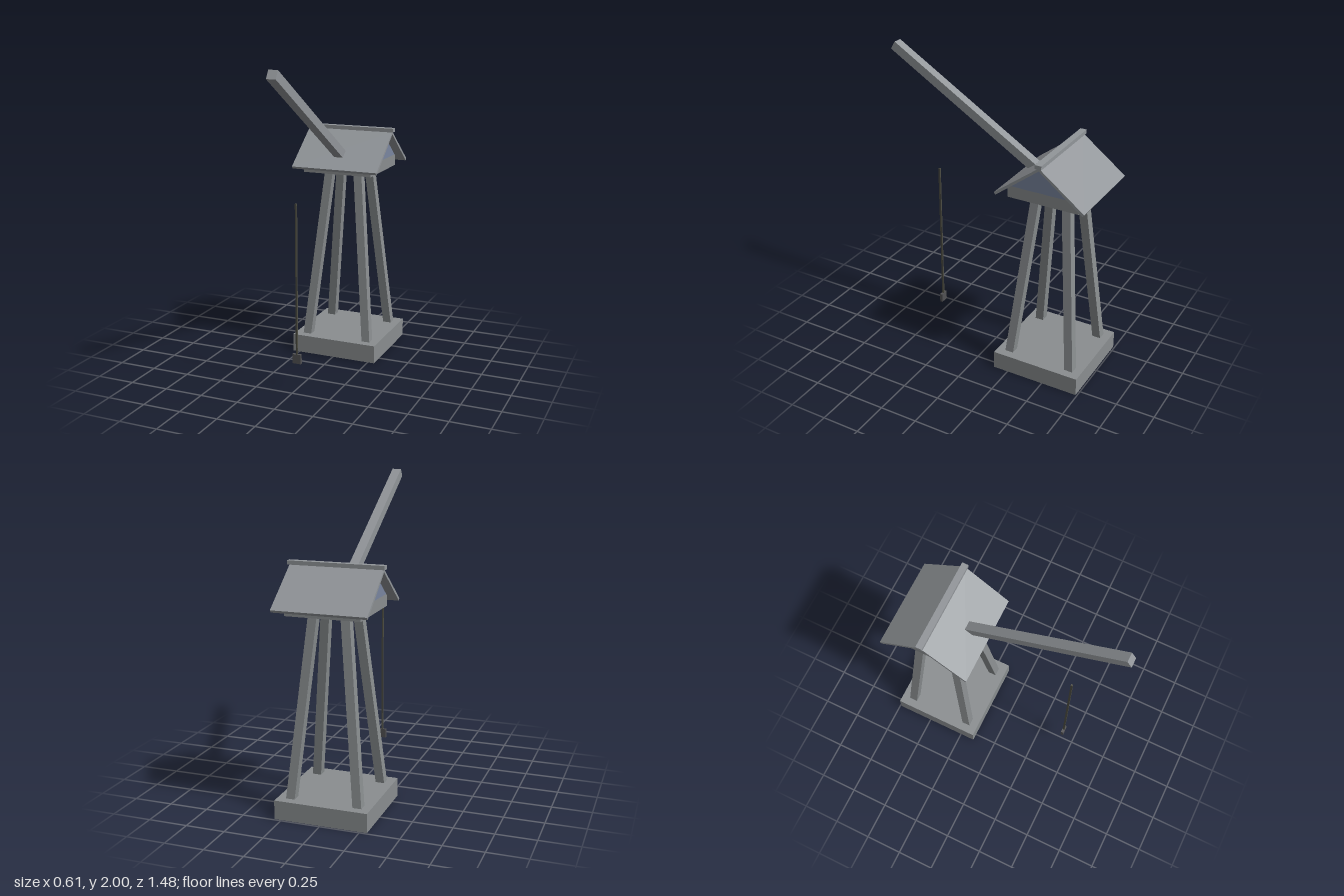
import * as THREE from 'three';

const mat = (name, color) => Object.assign(new THREE.MeshStandardMaterial({ color }), { name });

export function createModel() {
  const model = new THREE.Group();
  const stone = mat('stone grey', 0x8a8e90);
  const timber = mat('timber grey', 0x92969a);
  const slate = mat('gable blue grey', 0x7a86a0);
  const rope = mat('rope', 0x4c4c42);
  const iron = mat('dark iron', 0x525254);

  const add = (name, geometry, material, parent, x = 0, y = 0, z = 0) => {
    const mesh = new THREE.Mesh(geometry, material);
    mesh.name = name;
    mesh.position.set(x, y, z);
    parent.add(mesh);
    return mesh;
  };
  const box = (name, w, h, d, material, parent, x, y, z) =>
    add(name, new THREE.BoxGeometry(w, h, d), material, parent, x, y, z);
  // Extrude a z/y profile across the model's width
  const acrossX = (points, width) => {
    const shape = new THREE.Shape(points.map(([z, y]) => new THREE.Vector2(-z, y)));
    const g = new THREE.ExtrudeGeometry(shape, { depth: width, bevelEnabled: false });
    return g.translate(0, 0, -width / 2).rotateY(Math.PI / 2);
  };

  // Tower, built around its own axis
  const tower = new THREE.Group();
  tower.name = 'tower';
  tower.position.z = -0.445;
  model.add(tower);
  box('base', 0.59, 0.12, 0.59, stone, tower, 0, 0.06, 0);
  box('platform', 0.47, 0.076, 0.47, stone, tower, 0, 1.283, 0);

  // Four legs leaning inwards, with level ends
  const legBottom = 0.12, legTop = 1.245;
  for (const sx of [-1, 1]) for (const sz of [-1, 1]) {
    const g = new THREE.BoxGeometry(0.056, legTop - legBottom, 0.056);
    const p = g.attributes.position;
    for (let i = 0; i < p.count; i++) {
      const offset = p.getY(i) > 0 ? 0.101 : 0.213;
      p.setX(i, p.getX(i) + sx * offset);
      p.setZ(i, p.getZ(i) + sz * offset);
    }
    g.computeVertexNormals();
    add('leg', g, stone, tower, 0, (legTop + legBottom) / 2, 0);
  }

  // Gable body, roof slopes and ridge cap
  add('gable', acrossX([[-0.235, 1.32], [0.235, 1.32], [0, 1.497]], 0.47), slate, tower);
  for (const s of [-1, 1]) {
    const slope = [[0, 1.512], [0, 1.493], [s * 0.286, 1.272], [s * 0.296, 1.287]];
    add('roofSlope', acrossX(slope, 0.59), timber, tower);
  }
  box('ridgeCap', 0.61, 0.025, 0.042, timber, tower, 0, 1.521, 0);

  // Boom from the roof up to the front
  const start = new THREE.Vector2(-0.32, 1.337), tip = new THREE.Vector2(0.725, 1.975);
  const run = tip.clone().sub(start);
  const boom = box('boom', 0.06, 0.058, run.length(), timber, model,
    0, (start.y + tip.y) / 2, (start.x + tip.x) / 2);
  boom.rotation.x = -Math.atan2(run.y, run.x);

  // Hanging line and weight
  box('line', 0.01, 0.955, 0.013, rope, model, 0, 0.7075, 0.425);
  box('weight', 0.056, 0.06, 0.018, iron, model, 0, 0.2, 0.425);
  return model;
}
